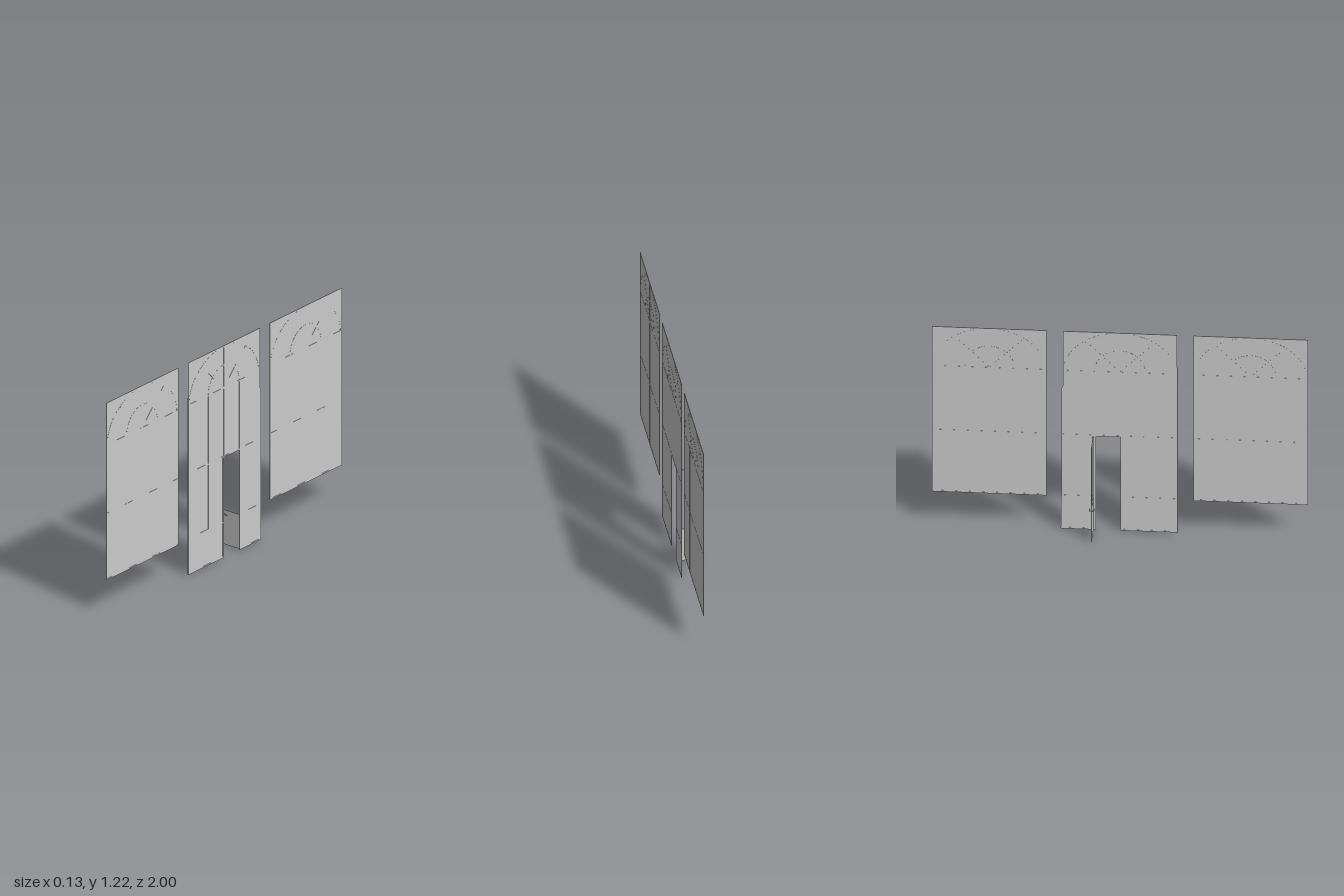
import * as THREE from 'three';

const material = new THREE.MeshStandardMaterial({ color: 0xcccccc, side: THREE.DoubleSide });
const GLASS = 0.002, BAR = 0.0034, W = 0.008;
const HALF = 0.305, TOP = 1.22, SPRING = 0.975, RAIL = 0.581, SILL = 0.2;

function add(group, name, geometry, x = 0, y = 0, z = 0) {
  const mesh = new THREE.Mesh(geometry, material);
  mesh.name = name;
  mesh.position.set(x, y, z);
  group.add(mesh);
  return mesh;
}

// Flat sheet centred on its own plane
function sheet(group, name, shape, depth) {
  const geo = new THREE.ExtrudeGeometry(shape, { depth, bevelEnabled: false, curveSegments: 32 });
  return add(group, name, geo.translate(0, 0, -depth / 2));
}

function polygon(points) {
  return new THREE.Shape(points.map(([x, y]) => new THREE.Vector2(x, y)));
}

// Straight glazing bar between two points
function bar(group, name, x0, y0, x1, y1, w = W) {
  const length = Math.hypot(x1 - x0, y1 - y0);
  const mesh = add(group, name, new THREE.BoxGeometry(length, w, BAR), (x0 + x1) / 2, (y0 + y1) / 2);
  mesh.rotation.z = Math.atan2(y1 - y0, x1 - x0);
}

// Half-elliptical glazing bar
function arch(group, name, rx, ry) {
  const shape = new THREE.Shape();
  shape.absellipse(0, SPRING, rx, ry, 0, Math.PI, false);
  shape.absellipse(0, SPRING, rx - W, ry - W, Math.PI, 0, true);
  sheet(group, name, shape, BAR);
}

// Fan light shared by all three windows
function fanLight(group) {
  arch(group, 'outerArch', 0.3, 0.243);
  arch(group, 'innerArch', 0.136, 0.136);
  bar(group, 'fanSpokeCentre', 0, SPRING, 0, TOP - W);
  for (const s of [-1, 1]) bar(group, 'fanSpoke', 0, SPRING, s * 0.183, SPRING + 0.183);
  bar(group, 'springRail', -0.3, SPRING, 0.3, SPRING);
  bar(group, 'topRail', -0.3, TOP - W / 2, 0.3, TOP - W / 2);
}

function sideWindow() {
  const g = new THREE.Group();
  sheet(g, 'pane', polygon([[-HALF, SILL], [HALF, SILL], [HALF, TOP], [-HALF, TOP]]), GLASS);
  fanLight(g);
  bar(g, 'middleRail', -HALF, RAIL, HALF, RAIL);
  bar(g, 'bottomRail', -HALF, SILL + W / 2, HALF, SILL + W / 2);
  for (const x of [-0.132, 0, 0.132]) bar(g, 'mullion', x, SILL, x, SPRING);
  for (const s of [-1, 1]) bar(g, 'stile', s * (HALF - W / 2), SILL, s * (HALF - W / 2), TOP);
  return g;
}

function doorWindow() {
  const g = new THREE.Group();
  // Pane with the doorway notched out of its foot
  sheet(g, 'pane', polygon([
    [-0.307, 0], [-0.004, 0], [-0.004, 0.577], [0.128, 0.577], [0.128, 0], [0.315, 0],
    [0.311, 0.28], [0.308, 0.87], [0.304, 0.88], [0.304, TOP], [-0.302, TOP], [-0.302, 1.02], [-0.307, 1.02],
  ]), GLASS);
  fanLight(g);
  bar(g, 'middleRail', -0.305, RAIL, 0.307, RAIL);
  for (const y of [W / 2, SILL + W / 2]) {
    bar(g, 'lowerRail', -0.305, y, -0.004, y);
    bar(g, 'lowerRail', 0.128, y, 0.311, y);
  }
  bar(g, 'mullion', -0.132, SILL, -0.132, SPRING);
  bar(g, 'doorJamb', -0.008, 0, -0.008, RAIL);
  bar(g, 'mullion', 0, RAIL, 0, SPRING);
  bar(g, 'doorJamb', 0.132, 0, 0.132, SPRING);
  bar(g, 'stile', -0.302, 0, -0.302, 1.02);
  bar(g, 'stile', 0.307, 0, 0.307, 0.87);
  return g;
}

// Open door with a glazing opening and a lever on both faces
function door() {
  const g = new THREE.Group();
  const leaf = polygon([[-0.068, 0], [0.062, 0], [0.062, 0.575], [-0.068, 0.575]]);
  leaf.holes.push(polygon([[-0.061, 0.198], [-0.061, 0.566], [0.051, 0.566], [0.051, 0.198]]));
  sheet(g, 'doorLeaf', leaf, 0.004);
  for (const s of [-1, 1]) {
    const post = new THREE.CylinderGeometry(0.0022, 0.0022, 0.012, 10).rotateX(Math.PI / 2);
    add(g, 'handlePost', post, -0.042, 0.176, s * 0.007);
    const lever = new THREE.CylinderGeometry(0.002, 0.002, 0.025, 10).rotateZ(Math.PI / 2);
    add(g, 'handleLever', lever, -0.032, 0.176, s * 0.013);
  }
  return g;
}

export function createModel() {
  const model = new THREE.Group();
  const place = (part, name, z) => {
    part.name = name;
    part.rotation.y = Math.PI / 2;
    part.position.set(0.063, 0, z);
    model.add(part);
  };
  place(sideWindow(), 'frontWindow', 0.695);
  place(doorWindow(), 'doorWindow', 0);
  place(sideWindow(), 'rearWindow', -0.695);
  const leaf = door();
  leaf.name = 'door';
  leaf.position.z = -0.143;
  model.add(leaf);
  return model;
}
